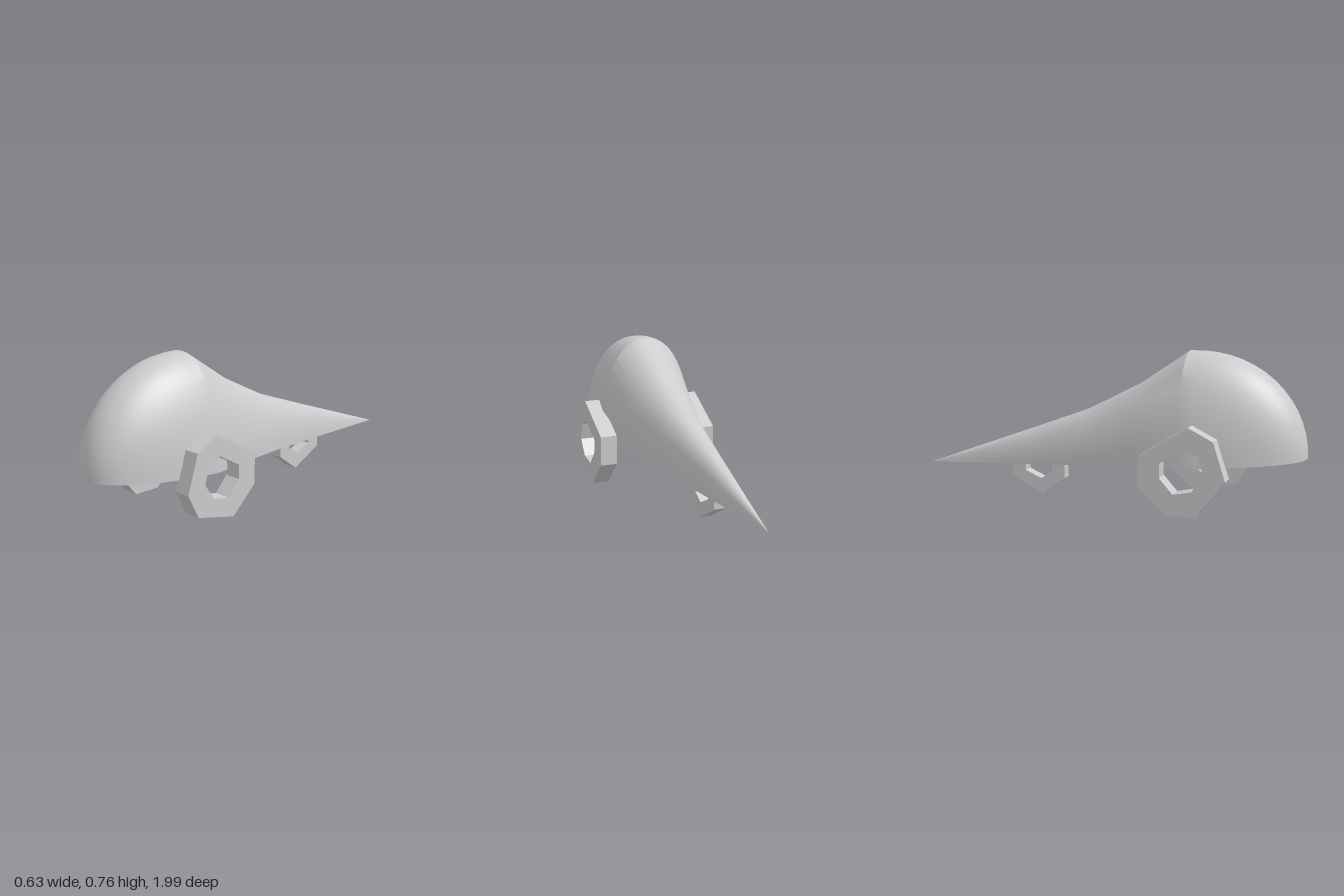
import * as THREE from 'three';
import { toCreasedNormals } from 'three/addons/utils/BufferGeometryUtils.js';

const baseY = z => 0.19 + 0.07 * z; // sloping underside

// Arched body lofted from half-superellipse sections [z, halfWidth, topY]
function bodyGeometry() {
  const sections = [];
  for (let i = 0; i <= 14; i++) {
    const a = (i / 14) * Math.PI / 2, s = Math.sin(a);
    const z = 0.42 + 0.58 * Math.cos(a);
    sections.push([z, 0.255 * s ** 0.87, baseY(z) + 0.541 * s]);
  }
  sections.push([0.17, 0.192, 0.59], [-0.1, 0.133, 0.45], [-0.42, 0.084, 0.33], [-0.99, 0, 0.12]);

  const N = 24, P = 2 / 2.2, pos = [], index = [];
  for (const [z, w, top] of sections) {
    for (let j = 0; j <= N; j++) {
      const a = (j / N) * Math.PI, c = Math.cos(a), b = baseY(z);
      pos.push(w * Math.sign(c) * Math.abs(c) ** P, b + (top - b) * Math.max(0, Math.sin(a)) ** P, z);
    }
  }
  const row = N + 1, last = sections.length - 2;
  for (let i = 0; i <= last; i++) {
    const quad = (a, b, c, d) => { // a,b on this section; d,c on the next
      if (i > 0) index.push(a, b, d);
      if (i < last) index.push(b, c, d);
    };
    const o = i * row, n = o + row;
    for (let j = 0; j < N; j++) quad(o + j + 1, o + j, n + j, n + j + 1);
    quad(o, o + N, n + N, n); // flat underside
  }
  const g = new THREE.BufferGeometry();
  g.setAttribute('position', new THREE.Float32BufferAttribute(pos, 3));
  g.setIndex(index);
  return toCreasedNormals(g, 0.4);
}

// Faceted ring from [z, y] outlines, extruded across x
function ringGeometry(outer, inner, width, x) {
  const toPoints = list => list.map(([z, y]) => new THREE.Vector2(z, y));
  const shape = new THREE.Shape(toPoints(outer));
  shape.holes.push(new THREE.Path(toPoints(inner)));
  const g = new THREE.ExtrudeGeometry(shape, { depth: width, bevelEnabled: false });
  g.translate(0, 0, -width / 2);
  g.rotateY(-Math.PI / 2);
  g.translate(x, 0, 0);
  return g;
}

export function createModel() {
  const group = new THREE.Group();
  const smooth = new THREE.MeshStandardMaterial({ color: 0xcccccc, side: THREE.DoubleSide });
  const flat = new THREE.MeshStandardMaterial({ color: 0xcccccc, flatShading: true });
  const add = (name, geometry, material) => {
    const mesh = new THREE.Mesh(geometry, material);
    mesh.name = name;
    group.add(mesh);
  };

  add('body', bodyGeometry(), smooth);

  // Front wheels share a rim but differ in their lowest corner
  const rim = [[0.67, 0.185], [0.61, 0.372], [0.49, 0.433], [0.25, 0.29], [0.25, 0.14], [0.39, 0.01]];
  const hole = [[0.567, 0.21], [0.54, 0.3], [0.475, 0.328], [0.353, 0.257], [0.353, 0.187], [0.42, 0.112], [0.51, 0.13]];
  add('leftWheel', ringGeometry([...rim, [0.61, 0.064]], hole, 0.087, 0.274), flat);
  add('rightWheel', ringGeometry([...rim, [0.53, 0.01]], hole, 0.087, -0.274), flat);

  // Small wheel under the tail
  const tailRim = [[-0.225, 0.087], [-0.225, 0.23], [-0.36, 0.3], [-0.508, 0.23], [-0.508, 0.087], [-0.342, 0.0]];
  const tailHole = [[-0.294, 0.117], [-0.294, 0.2], [-0.36, 0.235], [-0.437, 0.2], [-0.437, 0.117], [-0.353, 0.08]];
  add('tailWheel', ringGeometry(tailRim, tailHole, 0.062, 0), flat);

  return group;
}
